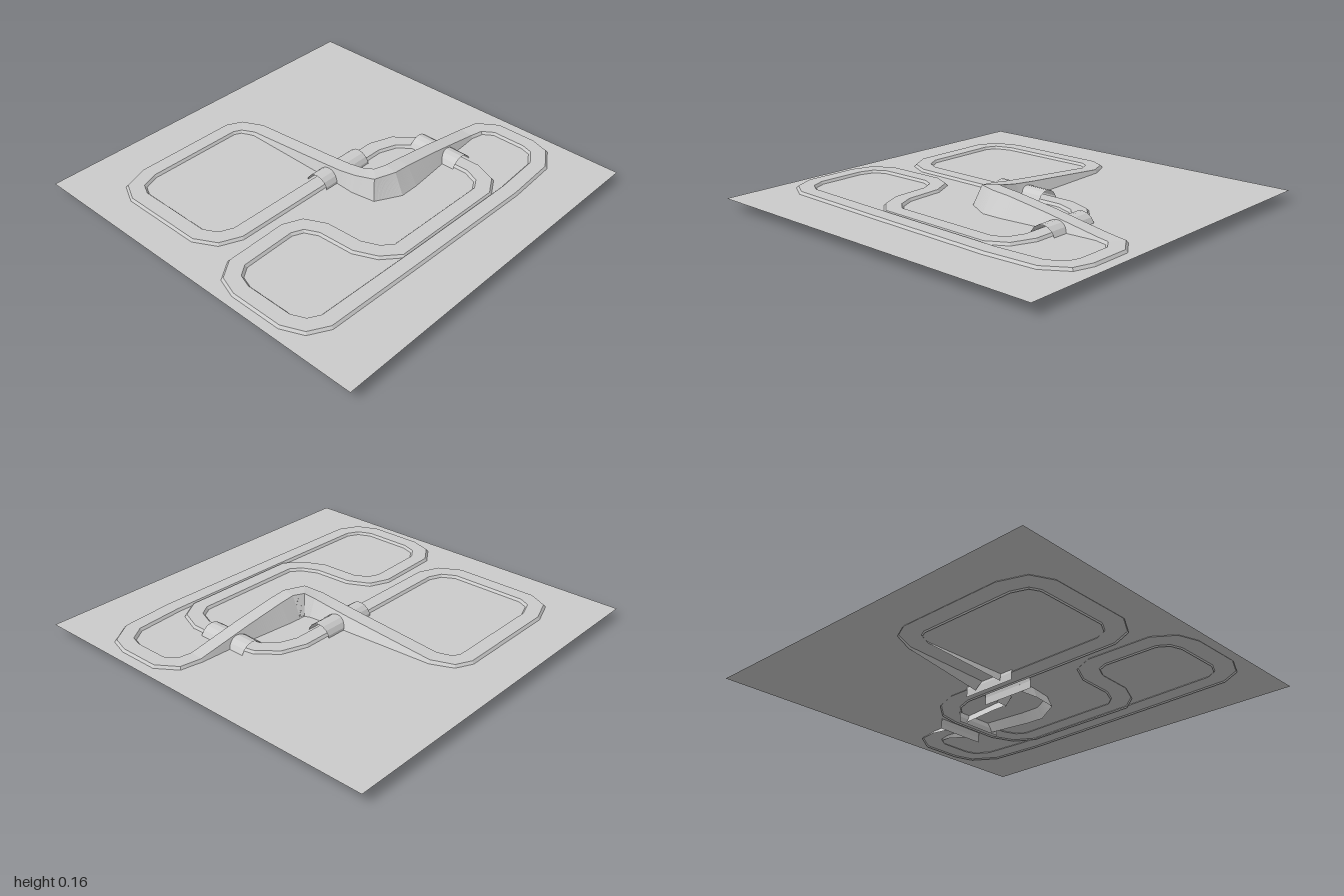
import * as THREE from 'three';

const ROAD_Y = 0.068, FOOT_Y = 0.048, HALF = 0.038, SKIRT = 0.016;

// Centre line of the circuit: x, z, then height, right and left bank spread, bank foot height
const LINE = [
  [-0.63, -0.72], [-0.08, -0.72], [-0.02, -0.69],
  [0.02, -0.6, 0.072, 0.016, 0.016, 0.045],
  [0.02, -0.1, 0.115, 0.03, 0.065, 0.005],
  [0.02, 0.03, 0.128, 0.03, 0.07, 0],
  [0.025, 0.12, 0.142, 0.045, 0.07, 0],
  [0.045, 0.2, 0.157, 0.06, 0.075, 0],
  [0.13, 0.232, 0.16, 0.09, 0.09, 0],
  [0.22, 0.232, 0.152, 0.09, 0.085, 0.003],
  [0.45, 0.232, 0.12, 0.062, 0.055, 0.008],
  [0.6, 0.232, 0.095, 0.04, 0.035, 0.015],
  [0.75, 0.232, 0.07, 0.018, 0.018, 0.04],
  [0.84, 0.25], [0.895, 0.33], [0.895, 0.53], [0.87, 0.61], [0.77, 0.675],
  [0.5, 0.693], [-0.2, 0.68], [-0.78, 0.665], [-0.86, 0.62], [-0.9, 0.53],
  [-0.9, 0.26], [-0.87, 0.17], [-0.79, 0.115], [-0.47, 0.105], [-0.39, 0.14],
  [-0.345, 0.23], [-0.335, 0.43], [-0.29, 0.53], [-0.22, 0.59], [0.4, 0.598],
  [0.48, 0.55], [0.52, 0.45], [0.52, 0.18], [0.5, 0.08], [0.43, 0.0], [0.32, -0.04],
  [-0.64, -0.04], [-0.73, -0.08], [-0.78, -0.17], [-0.78, -0.6], [-0.74, -0.68],
];

// Underpasses: which coordinate of the upper road crosses them, and where
const TUNNELS = [
  { across: 'z', at: -0.04, spring: 0.04, r: 0.068, from: -0.11, to: 0.2 },
  { across: 'x', at: 0.523, spring: 0.028, r: 0.073, from: 0.09, to: 0.375 },
];

function material() {
  return new THREE.MeshStandardMaterial({ color: 0xcccccc, flatShading: true, side: THREE.DoubleSide });
}

// Strip of quads through rows of points
function loft(rows, name, closed) {
  const n = rows[0].length, pos = [], index = [];
  rows.forEach(row => row.forEach(p => pos.push(p.x, p.y, p.z)));
  for (let i = 0; i < rows.length - (closed ? 0 : 1); i++) {
    const a0 = i * n, b0 = ((i + 1) % rows.length) * n;
    for (let j = 0; j < n - 1; j++) {
      const a = a0 + j, b = b0 + j;
      index.push(a, a + 1, b, b, a + 1, b + 1);
    }
  }
  const g = new THREE.BufferGeometry();
  g.setAttribute('position', new THREE.Float32BufferAttribute(pos, 3));
  g.setIndex(index);
  g.computeVertexNormals();
  const mesh = new THREE.Mesh(g, material());
  mesh.name = name;
  return mesh;
}

// Mitred cross-section at each centre point: foot, edge, edge, foot
function section(i) {
  const N = LINE.length, [x, z, y = ROAD_Y, wr = SKIRT, wl = SKIRT, fy = FOOT_Y] = LINE[i];
  const [px, pz] = LINE[(i + N - 1) % N], [nx, nz] = LINE[(i + 1) % N];
  const a = new THREE.Vector2(x - px, z - pz).normalize();
  const b = new THREE.Vector2(nx - x, nz - z).normalize();
  const t = a.clone().add(b).normalize(), mitre = 1 / t.dot(a);
  const at = (d, h) => new THREE.Vector3(x - t.y * d * mitre, h, z + t.x * d * mitre);
  return [at(HALF + wr, fy), at(HALF, y), at(-HALF, y), at(-HALF - wl, fy)];
}

// Lift the bank's foot up its slope to leave the underpass open
function openBank(foot, edge) {
  if (edge.y < 0.09) return;
  for (const { across, at, spring, r } of TUNNELS) {
    const d = foot[across] - at;
    if (Math.abs(d) >= r) continue;
    const arch = Math.min(edge.y - 0.002, spring + Math.sqrt(r * r - d * d));
    foot.lerp(edge, (arch - foot.y) / (edge.y - foot.y));
  }
}

function circuit() {
  const rows = [], steps = 20;
  const sections = LINE.map((_, i) => section(i));
  sections.forEach((s, i) => {
    const next = sections[(i + 1) % sections.length];
    const raised = Math.max(s[1].y, next[1].y) > 0.08;
    const count = raised ? steps : 1;
    for (let k = 0; k < count; k++) {
      const row = s.map((p, j) => p.clone().lerp(next[j], k / count));
      openBank(row[0], row[1]);
      openBank(row[3], row[2]);
      rows.push(row);
    }
  });
  return loft(rows, 'raceTrack', true);
}

// Open arched shell with straight walls
function tunnel({ across, at, spring, r, from, to }, name) {
  const profile = [[-r, 0]];
  for (let k = 0; k <= 8; k++) {
    const a = Math.PI * (1 - k / 8);
    profile.push([r * Math.cos(a), spring + r * Math.sin(a)]);
  }
  profile.push([r, 0]);
  const rows = [from, to].map(l => profile.map(([d, h]) =>
    across === 'z' ? new THREE.Vector3(l, h, at + d) : new THREE.Vector3(at + d, h, l)));
  return loft(rows, name, false);
}

export function createModel() {
  const group = new THREE.Group();
  group.name = 'raceCircuit';

  // Flat ground sheet
  const ground = new THREE.Mesh(new THREE.PlaneGeometry(2, 2).rotateX(-Math.PI / 2), material());
  ground.position.y = 0.055;
  ground.name = 'groundSheet';
  group.add(ground);

  // Road with banks, and the two underpasses
  group.add(circuit());
  TUNNELS.forEach((t, i) => group.add(tunnel(t, ['crossTunnel', 'frontTunnel'][i])));
  return group;
}
